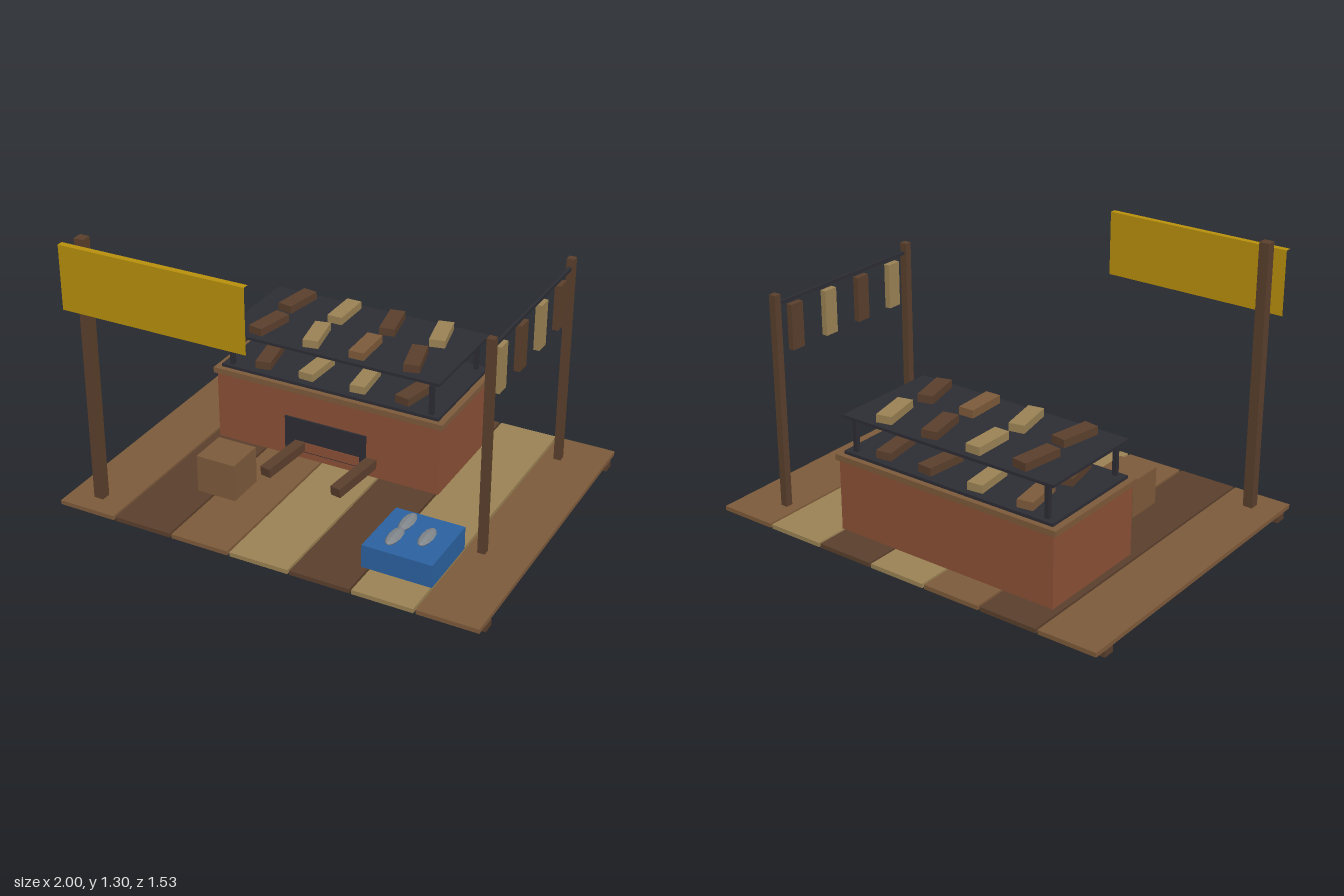
import * as THREE from 'three';

const mat = (name, color) => Object.assign(new THREE.MeshStandardMaterial({ color }), { name });

export function createModel() {
  const brown = mat('brown wood', 0x7d5a3a);
  const dark = mat('dark wood', 0x5a3f2c);
  const tan = mat('pale wood', 0x9a8254);
  const brick = mat('brick', 0x8b5035);
  const iron = mat('iron', 0x2c2c34);
  const blue = mat('blue', 0x2b62a0);
  const gold = mat('gold', 0xb8900c);
  const grey = mat('fish grey', 0x80858a);
  grey.flatShading = true;

  const model = new THREE.Group();
  const add = (name, geometry, material) => {
    const mesh = new THREE.Mesh(geometry, material);
    mesh.name = name;
    model.add(mesh);
    return mesh;
  };
  // Box given by its extents on each axis
  const box = (name, material, [x0, x1], [y0, y1], [z0, z1]) => {
    const mesh = add(name, new THREE.BoxGeometry(x1 - x0, y1 - y0, z1 - z0), material);
    mesh.position.set((x0 + x1) / 2, (y0 + y1) / 2, (z0 + z1) / 2);
    return mesh;
  };
  const around = (c, w) => [c - w / 2, c + w / 2];

  // Deck planks, cross beams and feet
  [brown, dark, brown, tan, dark, tan, brown].forEach((m, i) =>
    box('deckPlank', m, around((i - 3) * 0.2862, 0.276), [0.048, 0.068], [-0.763, 0.763]));
  for (const z of [-0.68, 0.68]) {
    box('deckBeam', dark, [-1, 1], [0.02, 0.048], around(z, 0.055));
    for (const x of [-0.91, 0.91]) box('foot', iron, around(x, 0.055), [0, 0.02], around(z, 0.055));
  }

  // Brick hearth with wooden rim and fire opening
  const cx = -0.12;
  box('hearth', brick, around(cx, 1.12), [0.068, 0.4], [-0.605, -0.045]);
  box('hearthRim', brown, around(cx, 1.15), [0.4, 0.427], [-0.615, -0.035]);
  box('fireOpening', iron, around(cx, 0.41), [0.105, 0.27], [-0.045, -0.036]);
  box('fireSill', brick, [-0.24, 0.055], [0.11, 0.157], [-0.036, -0.033]);

  // Two drying racks on four legs
  box('lowerRack', iron, around(cx, 1.09), [0.427, 0.441], [-0.59, -0.06]);
  box('upperRack', iron, around(cx, 1.09), [0.596, 0.609], [-0.59, -0.06]);
  for (const x of [-0.62, 0.38]) for (const z of [-0.086, -0.56])
    box('rackLeg', iron, around(x, 0.02), [0.441, 0.596], around(z, 0.02));

  // Slabs laid out on both racks: material and turn for each column
  const slabRow = (y, z, row) => row.forEach(([m, turn], i) => {
    const slab = box('dryingSlab', m, around(-0.49 + i * 0.246, 0.073), [y, y + 0.037], around(z, 0.195));
    slab.rotation.y = turn;
  });
  slabRow(0.609, -0.46, [[dark, -0.15], [tan, 0], [dark, 0.2], [tan, 0.22]]);
  slabRow(0.609, -0.195, [[dark, -0.18], [tan, 0.2], [brown, 0.03], [dark, 0.25]]);
  slabRow(0.441, -0.46, [[brown, 0.15], [tan, 0.1], [dark, -0.1], [dark, 0.15]]);
  slabRow(0.441, -0.195, [[dark, 0.2], [tan, -0.05], [tan, 0.1], [dark, -0.2]]);

  // Firewood sticking out of the opening
  for (const x of [-0.261, 0.092]) {
    const log = add('firewood', new THREE.BoxGeometry(0.052, 0.045, 0.32), dark);
    log.position.set(x, 0.128, 0.05);
    log.rotation.set(0.1, -0.18, 0, 'YXZ');
  }

  // Crate and blue fish box
  box('crate', brown, [-0.51, -0.32], [0.068, 0.245], [0.23, 0.415]);
  box('fishBox', blue, [0.395, 0.715], [0.068, 0.175], [0.28, 0.6]);
  for (const [x, z] of [[0.495, 0.375], [0.495, 0.495], [0.615, 0.44]]) {
    const fish = add('fish', new THREE.SphereGeometry(1, 8, 6).rotateX(Math.PI / 2), grey);
    fish.scale.set(0.03, 0.017, 0.07);
    fish.position.set(x, 0.188, z);
  }

  // Sign post and hollow sign, open at both ends
  box('signPost', dark, around(-0.86, 0.046), [0.068, 1.302], around(0.65, 0.046));
  const sign = box('signBoard', gold, [-0.942, -0.064], [0.98, 1.273], [0.675, 0.704]);
  sign.geometry.setIndex(Array.from(sign.geometry.index.array).slice(12));
  sign.geometry.clearGroups();

  // Hanging line with slabs
  for (const z of [0.265, -0.588])
    box('linePost', dark, around(0.79, 0.034), [0.068, 1.066], around(z, 0.034));
  box('hangingBar', iron, around(0.79, 0.014), [1.013, 1.028], [-0.588, 0.265]);
  [tan, dark, tan, dark].forEach((m, i) =>
    box('hangingSlab', m, around(0.79, 0.028), [0.786, 0.995], around(0.165 - i * 0.212, 0.07)));

  return model;
}
